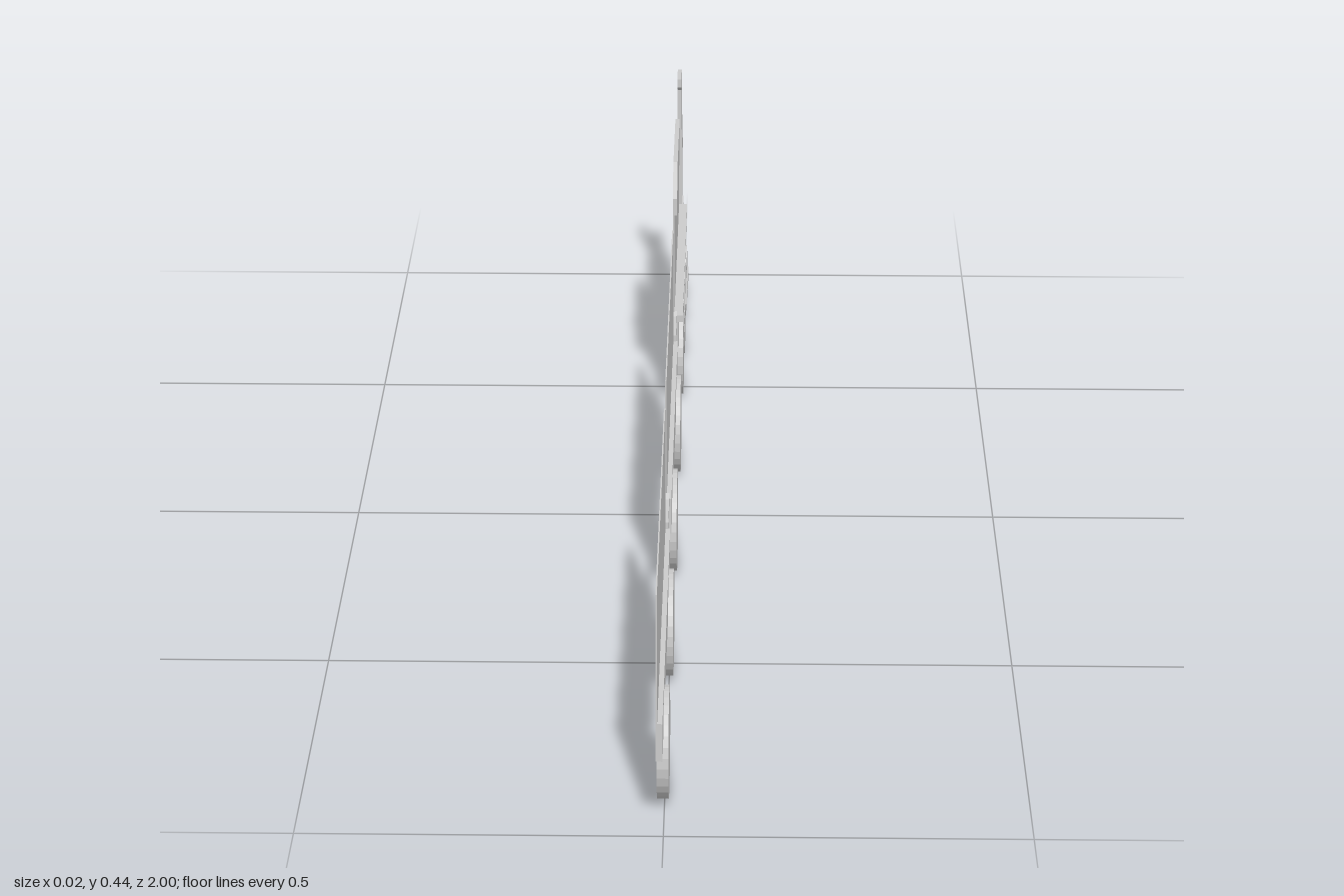
import * as THREE from 'three';

const material = new THREE.MeshStandardMaterial({ color: 0xcccccc, flatShading: true });
const BACK = -0.01; // every part sits flush on this plane

// Flat plate from [z, y] outline points, spanning x0..x1
function plate(parent, name, points, x1, x0 = BACK) {
  const shape = new THREE.Shape(points.map(([z, y]) => new THREE.Vector2(-z, y)));
  const geometry = new THREE.ExtrudeGeometry(shape, { depth: x1 - x0, bevelEnabled: false });
  geometry.rotateY(Math.PI / 2).translate(x0, 0, 0);
  const mesh = new THREE.Mesh(geometry, material);
  mesh.name = name;
  parent.add(mesh);
}

const rect = (z0, z1, y0, y1) => [[z0, y0], [z1, y0], [z1, y1], [z0, y1]];

function wheel(parent, name, z, y, r) {
  const width = 0.016;
  const geometry = new THREE.CylinderGeometry(r, r, width, 32).rotateZ(Math.PI / 2);
  const mesh = new THREE.Mesh(geometry, material);
  mesh.name = name;
  mesh.position.set(BACK + width / 2, y, z);
  parent.add(mesh);
}

// Straight bar between two [z, y] points
function bar(parent, name, [z0, y0], [z1, y1], thickness, xa, xb) {
  const length = Math.hypot(z1 - z0, y1 - y0);
  const nz = (-(y1 - y0) / length) * thickness / 2;
  const ny = ((z1 - z0) / length) * thickness / 2;
  plate(parent, name, [[z0 + nz, y0 + ny], [z1 + nz, y1 + ny], [z1 - nz, y1 - ny], [z0 - nz, y0 - ny]], xb, xa);
}

// Wagon: thin side panel above a thicker chassis band, on two wheels
function wagon(name, zFront, zBack, wheelZs) {
  const group = new THREE.Group();
  group.name = name;
  plate(group, 'sidePanel', rect(zFront, zBack, 0.17, 0.365), -0.008);
  plate(group, 'chassis', rect(zFront, zBack, 0.115, 0.172), -0.001);
  wheelZs.forEach((z) => wheel(group, 'wagonWheel', z, 0.078, 0.078));
  return group;
}

// Coupling bar with flared ends
function coupling(parent, z0, z1) {
  const flare = 0.012;
  plate(parent, 'coupling', [
    [z0, 0.16], [z0 - flare, 0.165], [z1 + flare, 0.165], [z1, 0.16],
    [z1, 0.182], [z1 + flare, 0.177], [z0 - flare, 0.177], [z0, 0.182],
  ], -0.004);
}

function locomotive() {
  const group = new THREE.Group();
  group.name = 'locomotive';
  // Cab and boiler side
  plate(group, 'cabAndBoiler', [
    [-0.395, 0.165], [-0.91, 0.165], [-0.91, 0.327], [-0.625, 0.327], [-0.625, 0.38], [-0.395, 0.38],
  ], -0.008);
  plate(group, 'roof', [
    [-0.357, 0.367], [-0.625, 0.367], [-0.625, 0.435], [-0.42, 0.435], [-0.357, 0.395],
  ], -0.003);
  plate(group, 'nose', [
    [-0.905, 0.172], [-0.93, 0.172], [-1, 0.257], [-0.925, 0.335], [-0.905, 0.335],
  ], -0.003);
  plate(group, 'chimney', [
    [-0.84, 0.327], [-0.87, 0.327], [-0.87, 0.41], [-0.88, 0.418], [-0.88, 0.433],
    [-0.828, 0.433], [-0.828, 0.418], [-0.84, 0.41],
  ], -0.003);
  // Lower frame and running board
  plate(group, 'frame', [
    [-0.4, 0.115], [-0.74, 0.115], [-0.76, 0.08], [-0.93, 0.08], [-0.945, 0.115], [-0.955, 0.17], [-0.395, 0.17],
  ], -0.001);
  plate(group, 'runningBoard', rect(-0.395, -0.9, 0.163, 0.175), 0.006);
  // Wheels and rods
  [-0.487, -0.66].forEach((z) => wheel(group, 'drivingWheel', z, 0.078, 0.078));
  [-0.8, -0.895].forEach((z) => wheel(group, 'leadingWheel', z, 0.052, 0.044));
  bar(group, 'couplingRod', [-0.487, 0.085], [-0.66, 0.085], 0.012, -0.002, 0.0065);
  bar(group, 'pistonRod', [-0.66, 0.092], [-0.895, 0.05], 0.015, 0.002, 0.009);
  return group;
}

export function createModel() {
  const model = new THREE.Group();
  model.name = 'train';
  model.add(wagon('lastWagon', 1, 0.403, [0.877, 0.52]));
  model.add(wagon('firstWagon', 0.303, -0.295, [0.178, -0.178]));
  model.add(locomotive());
  coupling(model, 0.405, 0.303);
  coupling(model, -0.293, -0.397);
  return model;
}
